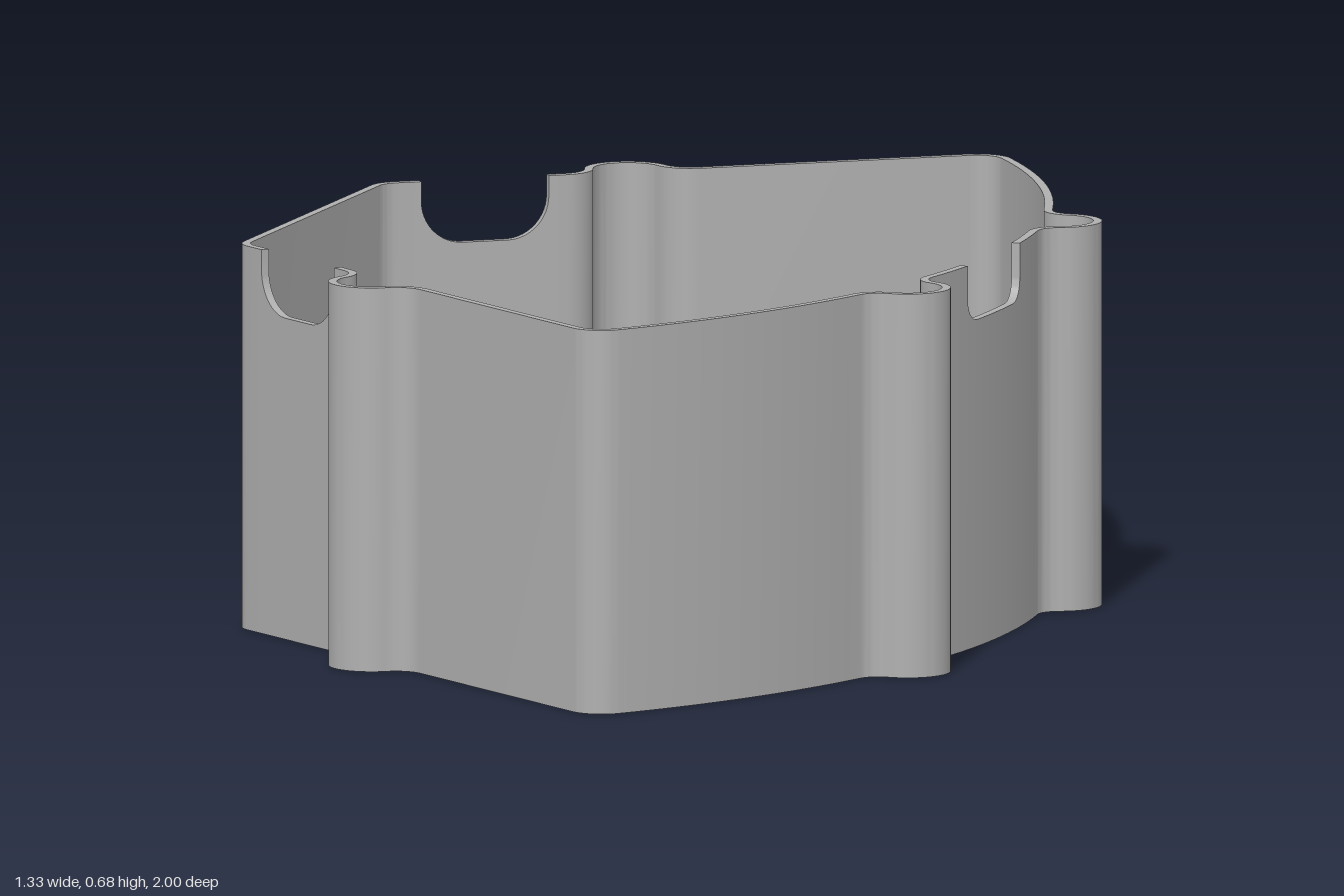
import * as THREE from 'three';
import { toCreasedNormals } from 'three/addons/utils/BufferGeometryUtils.js';

const H = 0.675, WALL = 0.015, FLOOR = 0.02, LEDGE = 0.06;
const SLANT = Math.atan(0.745), LINE_Z = 0.844;      // slanted side: z = LINE_Z + 0.745 x
const u = [Math.cos(SLANT), Math.sin(SLANT)], n = [-u[1], u[0]];
const nA = Math.PI / 2 + SLANT;                      // angle of the slanted side's outward normal
const A = [-0.97, 0], RA = 1.58;                     // big curved side
const BOSS_R = 0.075, BOSS1 = [-0.31, 0.64], BOSS2 = [0.585, 0.378];
const lineZ = x => LINE_Z + 0.745 * x;
const ang = (from, to) => Math.atan2(to[1] - from[1], to[0] - from[0]);

// Outline points are { x, z, nx, nz, h }: position, outward normal, wall height
function arc(c, r, a0, a1, steps, sign = 1) {
  // take the short way round
  while (a1 - a0 > Math.PI) a1 -= 2 * Math.PI;
  while (a1 - a0 < -Math.PI) a1 += 2 * Math.PI;
  return Array.from({ length: steps + 1 }, (_, i) => {
    const a = a0 + (a1 - a0) * i / steps, cx = Math.cos(a), cz = Math.sin(a);
    return { x: c[0] + r * cx, z: c[1] + r * cz, nx: sign * cx, nz: sign * cz, h: H };
  });
}

// Screw boss bulge: fillet, boss, fillet
function boss(B, f1, f2, r, start, end) {
  const mid = ang([0, 0], [(f1[0] + f2[0]) / 2 - B[0], (f1[1] + f2[1]) / 2 - B[1]]);
  let a0 = ang(B, f1), a1 = ang(B, f2);
  while (a1 > a0) a1 -= 2 * Math.PI;
  const half = (a0 + a1) / 2;
  return [
    ...arc(f1, r, start, ang(f1, B), 8, -1),
    ...arc(B, BOSS_R, a0, half, 12),
    ...arc(B, BOSS_R, half, a1, 12).slice(1),
    ...arc(f2, r, ang(f2, B), end, 8, -1),
  ];
}

// Depth of a notch with rounded lower corners, s from 0 to width
function notchHeight(s, width, base, r) {
  const d = Math.min(s, width - s);
  return d >= r ? base : base + r - Math.sqrt(Math.max(0, r * r - (r - d) ** 2));
}

function halfOutline() {
  const pts = [];
  // left corner
  pts.push(...arc([-0.605, lineZ(-0.605) - 0.06 / u[0]], 0.06, Math.PI, nA, 10));
  // notch in the slanted side
  const x0 = -0.605, x1 = -0.42, w = (x1 - x0) / u[0], r = 0.075;
  const onLine = (s, h) => {
    const x = x0 + s * u[0];
    return { x, z: lineZ(x), nx: n[0], nz: n[1], h };
  };
  pts.push(onLine(0, H));
  for (let i = 0; i <= 32; i++) {
    const s = w * (1 - Math.cos(Math.PI * i / 32)) / 2;
    pts.push(onLine(s, notchHeight(s, w, 0.565, r)));
  }
  pts.push(onLine(w, H));
  // boss on the slanted side
  const rf = 0.05, e = (BOSS1[1] - lineZ(BOSS1[0])) * u[0];
  const t = Math.sqrt((BOSS_R + rf) ** 2 - (rf - e) ** 2);
  const f = s => [0, 1].map(k => BOSS1[k] + (rf - e) * n[k] + s * t * u[k]);
  pts.push(...boss(BOSS1, f(-1), f(1), rf, nA - Math.PI, nA - Math.PI));
  // pointed end corner
  const T = [0.226, 0.938];
  pts.push(...arc(T, 0.06, nA, ang(A, T), 14));
  // curved side with its boss
  const rg = 0.04, d = Math.hypot(BOSS2[0] - A[0], BOSS2[1] - A[1]), D = RA + rg;
  const beta = ang(A, BOSS2);
  const delta = Math.acos((d * d + D * D - (BOSS_R + rg) ** 2) / (2 * d * D));
  const g = s => [A[0] + D * Math.cos(beta + s * delta), A[1] + D * Math.sin(beta + s * delta)];
  pts.push(...arc(A, RA, ang(A, T), beta + delta, 16).slice(1));
  pts.push(...boss(BOSS2, g(1), g(-1), rg, beta + delta - Math.PI, beta - delta - Math.PI));
  // half of the notch in the curved side
  const edge = Math.asin(0.13 / RA);
  pts.push(...arc(A, RA, beta - delta, edge, 6));
  for (let i = 0; i <= 16; i++) {
    const a = edge * Math.cos(Math.PI / 2 * i / 16);
    const p = arc(A, RA, a, a, 1)[0];
    p.h = notchHeight((edge - a) * RA, 0.26, 0.575, 0.04);
    pts.push(p);
  }
  return pts;
}

// Complete a half outline (z > 0) by reflecting it
const mirrored = half => [
  ...half,
  ...half.map(p => ({ ...p, z: -p.z, nz: -p.nz })).reverse().filter(p => Math.abs(p.z) > 1e-6),
];

// Thin wall: closed cross-section carried round the outline
function wallGeometry(outline) {
  const pos = [], idx = [], N = outline.length;
  for (const p of outline) {
    const ix = p.x - WALL * p.nx, iz = p.z - WALL * p.nz;
    pos.push(p.x, 0, p.z, p.x, p.h, p.z, ix, p.h, iz, ix, 0, iz);
  }
  for (let i = 0; i < N; i++) {
    const a = i * 4, b = ((i + 1) % N) * 4;
    for (let k = 0; k < 4; k++) {
      const m = (k + 1) % 4;
      idx.push(a + k, b + k, b + m, a + k, b + m, a + m);
    }
  }
  const geo = new THREE.BufferGeometry();
  geo.setAttribute('position', new THREE.Float32BufferAttribute(pos, 3));
  geo.setIndex(idx);
  return toCreasedNormals(geo, 0.6);
}

// Flat plate from an outline, lying between two heights
function plate(points, y0, y1, holes = []) {
  const clean = points.filter((p, i) => i === 0 || p.distanceTo(points[i - 1]) > 1e-4);
  const shape = new THREE.Shape(clean);
  shape.holes.push(...holes);
  const geo = new THREE.ExtrudeGeometry(shape, { depth: y1 - y0, bevelEnabled: false, curveSegments: 24 });
  geo.rotateX(-Math.PI / 2).translate(0, y0, 0);
  return toCreasedNormals(geo, 0.6);
}

export function createModel() {
  const grey = new THREE.MeshStandardMaterial({ color: 0xb0b0b0 });
  grey.name = 'grey';
  const model = new THREE.Group();
  model.name = 'housing';
  const add = (name, geo) => {
    const mesh = new THREE.Mesh(geo, grey);
    mesh.name = name;
    model.add(mesh);
  };

  const outline = mirrored(halfOutline());
  add('wall', wallGeometry(outline));

  const inner = outline.map(p => new THREE.Vector2(p.x - WALL * p.nx, p.z - WALL * p.nz));
  add('floor', plate(inner, 0, FLOOR));

  // Raised ledge round the recessed floor, with blind screw holes
  const T = [0.221, 0.9026];
  const recess = mirrored([
    { x: -0.6, z: 0.316, nx: 0, nz: 0 },
    ...arc(T, 0.02, nA, ang(A, T), 8),
    ...arc(A, 1.515, ang(A, T), 0, 32).slice(1),
  ]).map(p => new THREE.Vector2(p.x, p.z));
  const holes = [new THREE.Path(recess)];
  for (const [x, z] of [BOSS1, BOSS2]) {
    for (const s of [1, -1]) holes.push(new THREE.Path().absarc(x, s * z, 0.037, 0, Math.PI * 2));
  }
  add('ledge', plate(inner, FLOOR, LEDGE, holes));
  return model;
}
